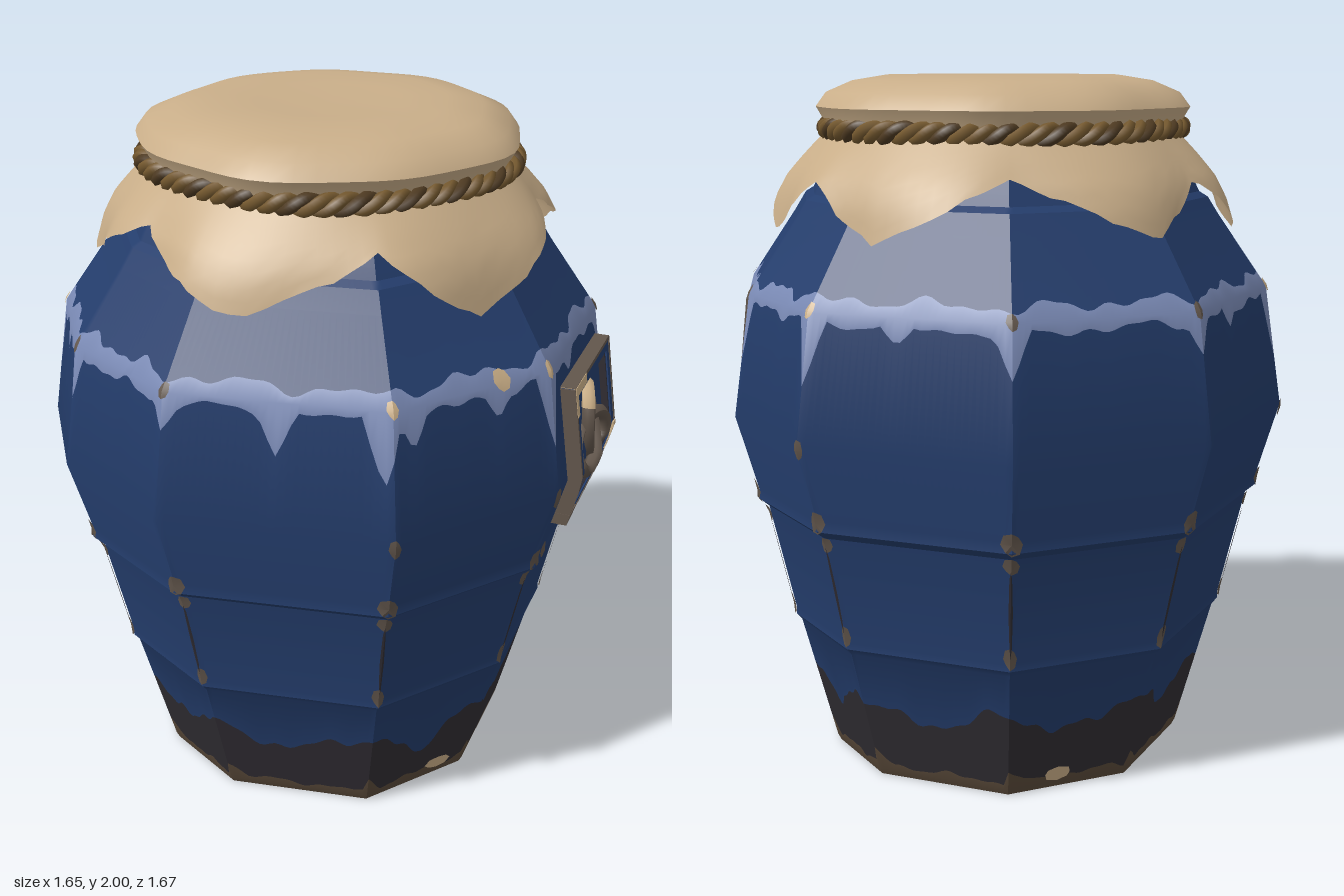
import * as THREE from 'three';
import { toCreasedNormals } from 'three/addons/utils/BufferGeometryUtils.js';

const mat = (name, color, side = THREE.FrontSide) => {
  const m = new THREE.MeshStandardMaterial({ color, side });
  m.name = name;
  return m;
};

// Ten uneven ridges around the jar (x, z) at its widest, running from front towards +x
const RIDGES = [[-0.03, 0.83], [0.5, 0.66], [0.75, 0.31], [0.82, -0.09], [0.54, -0.62],
  [0.02, -0.83], [-0.52, -0.65], [-0.76, -0.33], [-0.83, 0.1], [-0.53, 0.66]];
// Jar profile (height, radius) with overlapping bands and a stepped neck
const PROFILE = [[0, 0.54], [0.02, 0.55], [0.41, 0.652], [0.43, 0.668], [0.45, 0.667], [0.775, 0.74],
  [0.8, 0.77], [0.83, 0.768], [1.05, 0.83], [1.4, 0.775], [1.6, 0.635], [1.655, 0.6], [1.67, 0.575],
  [1.7, 0.56], [1.85, 0.48]];

// Linear lookup in a sorted table of [x, value]
function lookup(table, x) {
  let i = 1;
  while (i < table.length - 1 && table[i][0] < x) i++;
  const [x0, a] = table[i - 1], [x1, b] = table[i];
  return a + (b - a) * THREE.MathUtils.clamp((x - x0) / (x1 - x0), 0, 1);
}

// Point on the jar wall: u counts ridges (0..10), y is height
function wall(u, y, lift = 0) {
  const w = ((u % 10) + 10) % 10, i = Math.floor(w), f = w - i;
  const a = RIDGES[i], b = RIDGES[(i + 1) % 10];
  const s = lookup(PROFILE, y) / 0.83;
  const x = (a[0] + (b[0] - a[0]) * f) * s, z = (a[1] + (b[1] - a[1]) * f) * s;
  const k = 1 + lift / Math.hypot(x, z);
  return [x * k, y, z * k];
}

// Grid surface from point(i, j); empty triangles are dropped
function surface(nu, nv, point, crease) {
  const p = [], index = [];
  for (let j = 0; j <= nv; j++) for (let i = 0; i <= nu; i++) p.push(new THREE.Vector3(...point(i, j)));
  const tri = (a, b, c) => {
    const area = p[b].clone().sub(p[a]).cross(p[c].clone().sub(p[a])).length();
    if (area > 1e-9) index.push(a, b, c);
  };
  for (let j = 0; j < nv; j++) for (let i = 0; i < nu; i++) {
    const a = j * (nu + 1) + i, d = a + nu + 1;
    tri(a, a + 1, d + 1);
    tri(a, d + 1, d);
  }
  const g = new THREE.BufferGeometry().setFromPoints(p);
  g.setIndex(index);
  return toCreasedNormals(g, crease);
}

// Part of a trefoil knot, one lobe upwards
class KnotArc extends THREE.Curve {
  constructor(from, to) { super(); this.from = from; this.to = to; }
  getPoint(t, target = new THREE.Vector3()) {
    const a = (this.from + (this.to - this.from) * t) * Math.PI * 2;
    return target.set(0.046 * (Math.sin(a) + 2 * Math.sin(2 * a)),
      -0.046 * (Math.cos(a) - 2 * Math.cos(2 * a)), 0.02 + 0.014 * Math.sin(3 * a));
  }
}

// One strand of the twisted rope
class Strand extends THREE.Curve {
  constructor(phase) { super(); this.phase = phase; }
  getPoint(t, target = new THREE.Vector3()) {
    const a = t * Math.PI * 2, h = a * 22 + this.phase;
    const r = 0.51 + 0.008 * Math.sin(5 * a) + 0.017 * Math.cos(h);
    return target.set(r * Math.sin(a), 1.85 + 0.017 * Math.sin(h), r * Math.cos(a));
  }
}

export function createModel() {
  const jar = new THREE.Group();
  jar.name = 'jar';
  const blue = mat('blue glaze', 0x243d6c), pale = mat('pale drip glaze', 0x7a8ab5);
  const dark = mat('dark base', 0x302d33), trim = mat('brown foot', 0x5a4a3a);
  const chip = mat('worn clay', 0x62564c), bare = mat('bare clay', 0xcdb189);
  const cloth = mat('cloth', 0xc9ae89, THREE.DoubleSide);
  const rope = mat('rope', 0x75592f), ropeDark = mat('dark rope', 0x4f3b22);
  const add = (name, geometry, material, parent = jar) => {
    const m = new THREE.Mesh(geometry, material);
    m.name = name;
    parent.add(m);
    return m;
  };

  // Wavy borders between the glazes
  const noise = (u, k) => {
    const a = u * Math.PI / 5;
    return (Math.sin(a * 17 + k) + Math.sin(a * 31 + 2 * k) * 0.7 + Math.sin(a * 53 + 3 * k) * 0.5) / 2;
  };
  const ringGap = (u, c) => Math.abs(((u - c + 15) % 10) - 5);
  const footTop = u => 0.04 + 0.012 * noise(u, 1) + 0.05 * Math.max(0, 1 - ringGap(u % 1, 0) * 8);
  const baseTop = u => 0.235 + 0.035 * Math.cos(u * Math.PI * 2 + 0.4) + 0.025 * noise(u, 4)
    - 0.05 * Math.max(0, 1 - ringGap(u, 9.5) * 3);
  const drips = [[0, 1.19], [0.35, 1.33], [1, 1.26], [1.53, 1.26], [2, 1.21], [3, 1.21], [3.45, 1.33],
    [4, 1.26], [5, 1.29], [5.4, 1.33], [6, 1.19], [6.5, 1.32], [7, 1.25], [8, 1.3], [8.5, 1.26],
    [8.96, 1.2], [9.12, 1.29], [9.65, 1.31]];
  const dripLow = u => {
    let y = 1.375 + 0.018 * noise(u, 2);
    for (const [c, end] of drips) {
      const d = ringGap(u, c) / 0.085;
      if (d < 1) y = Math.min(y, 1.38 - (1.38 - end) * Math.pow(1 - d, 0.8));
    }
    return y;
  };
  const dripTop = u => 1.435 + 0.02 * noise(u, 7);

  // Jar wall in glaze bands
  const COLS = 300;
  const band = (name, material, lo, hi) => add(name, surface(COLS, PROFILE.length + 1, (i, j) => {
    const u = i / COLS * 10, a = lo(u), b = hi(u);
    const y = j === 0 ? a : j > PROFILE.length ? b : THREE.MathUtils.clamp(PROFILE[j - 1][0], a, b);
    return wall(u, y);
  }, 0.45), material);
  band('foot', trim, () => 0, footTop);
  band('baseBand', dark, footTop, baseTop);
  band('body', blue, baseTop, dripLow);
  band('dripBand', pale, dripLow, dripTop);
  band('shoulder', blue, dripTop, () => 1.85);
  add('underside', surface(10, 1, (i, j) => j ? wall(i, 0) : [0, 0, 0], 0.4), dark);

  // Thin worn patches lying on the wall
  const patch = (name, u, y, w, h, material) => add(name, surface(8, 1, (i, j) => {
    const a = i * Math.PI / 4, k = 0.8 + 0.3 * Math.abs(Math.sin(i % 8 * 2.3 + u * 5));
    return j ? wall(u, y, 0.005) : wall(u + Math.cos(a) * w * k * (Math.abs(Math.cos(a)) < 1e-6 ? 0 : 1),
      y + Math.sin(a) * h * k, 0.005);
  }, 0.45), material);
  for (let i = 0; i < 10; i++) {
    patch('seamChip', i, 0.825, 0.055, 0.035, chip);
    patch('seamChip', i, 0.755, 0.045, 0.025, chip);
    patch('seamChip', i, 0.47, 0.04, 0.035, chip);
    patch('shoulderChip', i, 1.405, 0.03, 0.022, i % 3 === 0 ? bare : chip);
    patch('ridgeCrack', i, 0.61, 0.012, 0.14, dark);
    if (i % 3 === 0) patch('ridgeChip', i, 1.04, 0.03, 0.03, chip);
  }
  patch('seamChip', 0.13, 0.825, 0.06, 0.025, chip);
  patch('glazeChip', 9.68, 1.41, 0.05, 0.03, bare);
  patch('footChip', 9.7, 0.055, 0.12, 0.025, bare);
  patch('footChip', 4.4, 0.05, 0.12, 0.022, bare);

  // Square plaque, bent to follow the wall
  const plaque = new THREE.Group();
  plaque.name = 'plaque';
  plaque.position.set(0.26, 1.115, 0.737);
  plaque.rotation.y = 0.311;
  jar.add(plaque);
  const bend = g => {
    const p = g.attributes.position;
    for (let i = 0; i < p.count; i++)
      p.setZ(i, p.getZ(i) + (lookup(PROFILE, p.getY(i) + 1.115) - 0.83) * 0.95);
    g.computeVertexNormals();
    return g;
  };
  const slab = (name, w, h, d, x, y, z, material) =>
    add(name, bend(new THREE.BoxGeometry(w, h, d, 1, 8, 1).translate(x, y, z)), material, plaque);
  slab('plaquePanel', 0.4, 0.4, 0.03, 0, 0, 0, blue);
  for (const s of [-1, 1]) {
    slab('frameSide', 0.032, 0.41, 0.06, s * 0.19, 0, 0.01, blue);
    slab('frameBar', 0.41, 0.032, 0.06, 0, s * 0.19, 0.01, blue);
    slab('frameSideEdge', 0.01, 0.41, 0.065, s * 0.204, 0, 0.01, chip);
    slab('frameBarEdge', 0.41, 0.01, 0.065, 0, s * 0.204, 0.01, chip);
    slab('frameInnerEdge', 0.008, 0.35, 0.05, s * 0.171, 0, 0.01, dark);
    slab('frameInnerBar', 0.35, 0.008, 0.05, 0, s * 0.171, 0.01, dark);
    slab('frameCorner', 0.07, 0.034, 0.068, s * 0.175, -0.19, 0.01, chip);
  }
  slab('wornCorner', 0.12, 0.026, 0.068, -0.145, 0.195, 0.01, bare);
  slab('wornCorner', 0.022, 0.08, 0.068, -0.196, 0.165, 0.01, bare);
  slab('wornSide', 0.022, 0.09, 0.068, 0.196, -0.1, 0.01, bare);
  for (const [from, to, m] of [[-0.42, 0.42, chip], [0.42, 0.58, bare]])
    add('knotRelief', bend(new THREE.TubeGeometry(new KnotArc(from, to), 80, 0.02, 6)), m, plaque);

  // Cloth cap over the mouth
  const cap = [[0.505, 1.84], [0.515, 1.875], [0.535, 1.91], [0.505, 1.95], [0.43, 1.982], [0.33, 1.998],
    [0.2, 1.993], [0, 1.985]];
  add('clothCap', surface(60, cap.length - 1, (i, j) => {
    const a = i / 60 * Math.PI * 2, [r, y] = cap[j];
    const k = r * (1 + 0.014 * Math.sin(5 * a + 1) + 0.012 * Math.sin(9 * a));
    return [k * Math.sin(a), y, k * Math.cos(a)];
  }, 1), cloth);

  // Cloth skirt with a pointed hem
  const hem = [[-0.35, 1.555], [0.75, 1.745], [1.8, 1.57], [2.6, 1.72], [3.25, 1.57], [4, 1.745], [4.9, 1.58],
    [5.45, 1.72], [6.05, 1.56], [7.3, 1.74], [8.3, 1.59], [9, 1.745], [9.65, 1.555]];
  const flare = [[1.55, 0.675], [1.66, 0.645], [1.72, 0.615], [1.78, 0.565], [1.85, 0.5]];
  add('clothSkirt', surface(120, 8, (i, j) => {
    const u = i / 12, end = lookup(hem, u > 9.65 ? u - 10 : u) + 0.008 * noise(u, 5);
    const y = end + (1.85 - end) * j / 8;
    const [x, , z] = wall(u, y), r = Math.hypot(x, z);
    const fold = 0.014 * Math.sin(u * Math.PI * 1.8) * (1 - j / 8);
    const k = Math.max(r + 0.015, lookup(flare, y) + fold) / r;
    return [x * k, y, z * k];
  }, 0.8), cloth);

  // Twisted rope tying the cloth
  for (let s = 0; s < 3; s++)
    add('ropeStrand', new THREE.TubeGeometry(new Strand(s * Math.PI * 2 / 3), 440, 0.017, 6, true),
      s === 2 ? ropeDark : rope);
  return jar;
}
